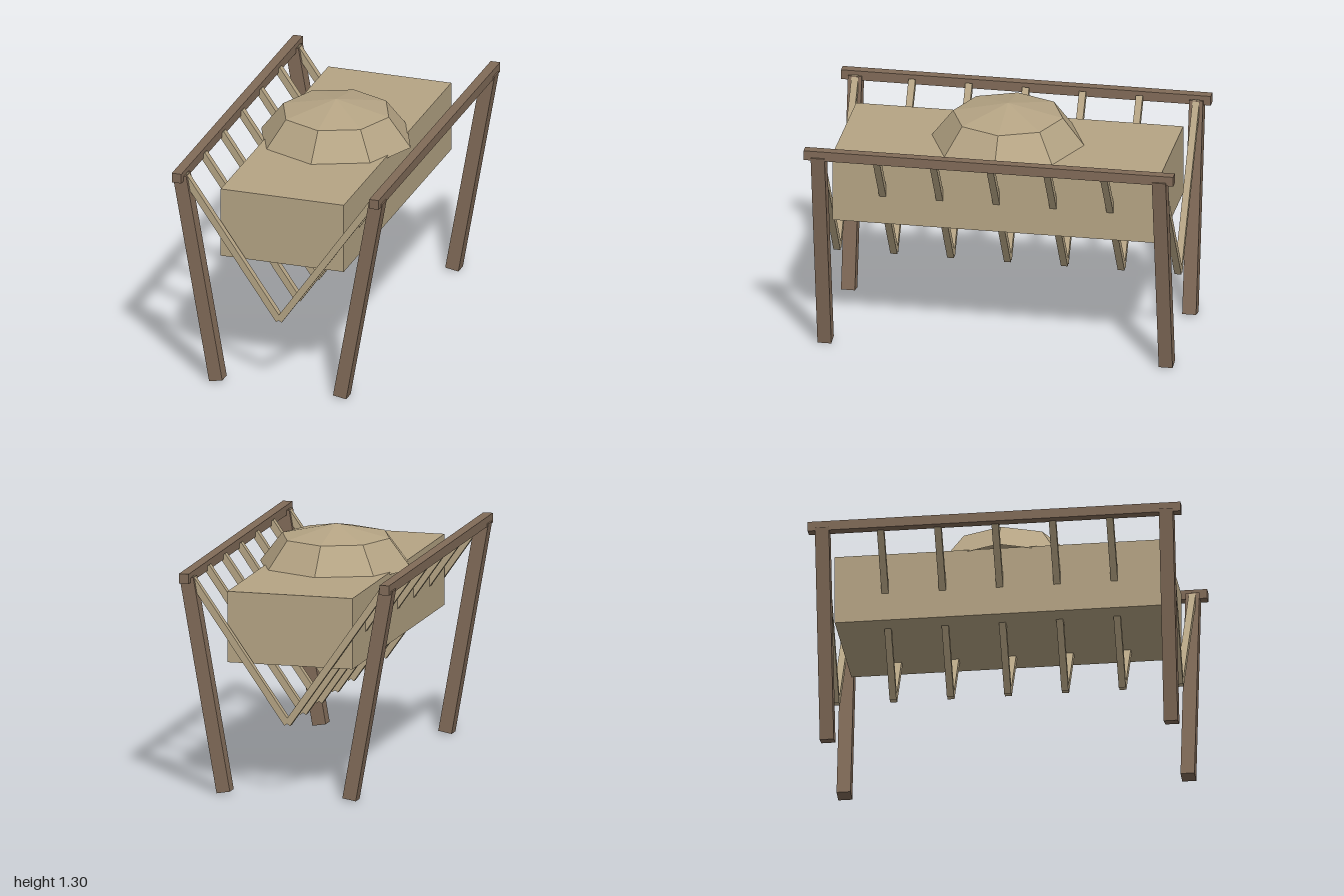
import * as THREE from 'three';

export function createModel() {
  const model = new THREE.Group();
  const darkWood = new THREE.MeshStandardMaterial({ color: 0x816b58 });
  darkWood.name = 'darkWood';
  const straw = new THREE.MeshStandardMaterial({ color: 0xb5a484 });
  straw.name = 'straw';
  straw.flatShading = true;
  straw.side = THREE.DoubleSide; // the mound is open underneath

  const add = (name, geometry, material, x, y, z) => {
    const mesh = new THREE.Mesh(geometry, material);
    mesh.name = name;
    mesh.position.set(x, y, z);
    model.add(mesh);
    return mesh;
  };

  // Hay block with a faceted mound on top
  add('hayBlock', new THREE.BoxGeometry(0.692, 0.385, 1.77), straw, 0, 0.893, 0);
  const mound = new THREE.SphereGeometry(0.42, 8, 4, 0, Math.PI * 2, 0, Math.PI / 2);
  // two rings only: one at 45 degrees, one at the rim
  const moundGeometry = new THREE.SphereGeometry(0.42, 8, 2, 0, Math.PI * 2, 0, Math.PI / 2);
  mound.dispose();
  moundGeometry.scale(1, 0.225 / 0.42, 1);
  add('hayMound', moundGeometry, straw, 0, 1.075, 0);

  const railGeometry = new THREE.BoxGeometry(0.053, 0.053, 2);
  const legGeometry = new THREE.BoxGeometry(0.075, 1.17, 0.075);
  const slatGeometry = new THREE.BoxGeometry(0.037, 0.933, 0.037);
  const legTilt = THREE.MathUtils.degToRad(10);
  const slatTilt = THREE.MathUtils.degToRad(35);

  for (const side of [-1, 1]) {
    // Top rail
    add('topRail', railGeometry, darkWood, side * 0.555, 1.164, 0);

    // Splayed legs at both ends
    for (const end of [-1, 1]) {
      add('leg', legGeometry, darkWood, side * 0.45, 0.583, end * 0.923)
        .rotation.z = -side * legTilt;
    }

    // Slats of the V-shaped rack
    for (let i = -3; i <= 3; i++) {
      add('rackSlat', slatGeometry, straw, side * 0.268, 0.777, i * 0.3075)
        .rotation.z = -side * slatTilt;
    }
  }
  return model;
}
